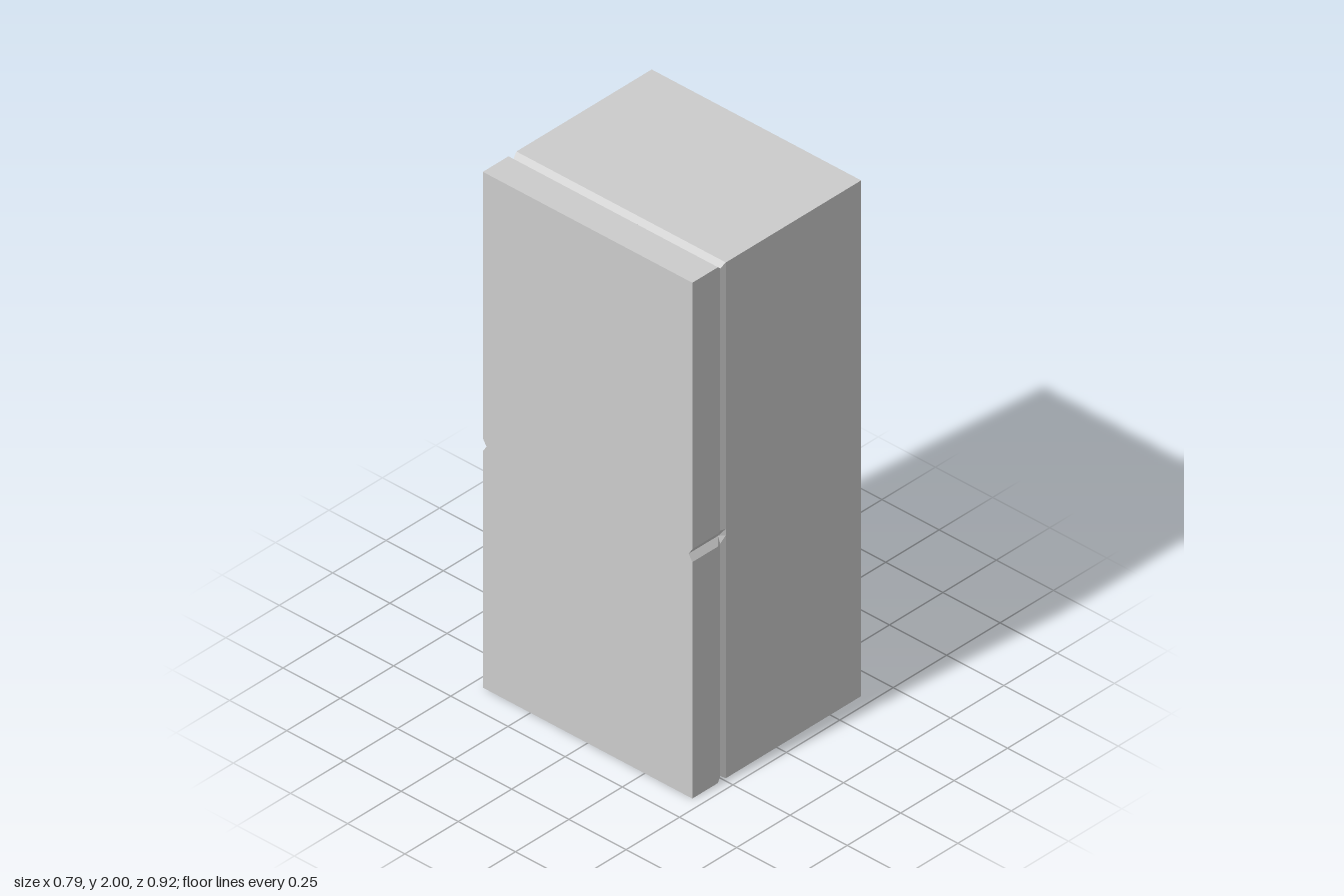
import * as THREE from 'three';

const H = 2, HALF_Z = 0.458, HALF_X = 0.395;
const NOTCH_Y = 0.942, NOTCH_HALF = 0.025, NOTCH_DEPTH = 0.016;

// Outline across x as (z, y) points, with a V notch between the two doors
function section({ insetY = 0, insetZ = 0, notch = 0 }) {
  const z = HALF_Z - insetZ;
  const frontEdge = [
    [z, insetY],
    [z, NOTCH_Y - NOTCH_HALF],
    [Math.min(z, HALF_Z - notch), NOTCH_Y],
    [z, NOTCH_Y + NOTCH_HALF],
    [z, H - insetY],
  ];
  const backEdge = frontEdge.map(([pz, py]) => [-pz, py]).reverse();
  return [...frontEdge, ...backEdge].map(([a, b]) => new THREE.Vector2(a, b));
}

// Skins a row of sections along x and closes one end
function loft(name, stations, capStart) {
  const rings = stations.map(section);
  const n = rings[0].length;
  const positions = [], index = [];
  rings.forEach((ring, j) => ring.forEach(p => positions.push(stations[j].x, p.y, p.x)));
  for (let j = 0; j < rings.length - 1; j++) {
    for (let i = 0; i < n; i++) {
      const a = j * n + i, b = j * n + (i + 1) % n;
      index.push(a, a + n, b + n, a, b + n, b);
    }
  }
  const capRing = capStart ? 0 : rings.length - 1;
  for (const [a, b, c] of THREE.ShapeUtils.triangulateShape(rings[capRing], [])) {
    const o = capRing * n;
    if (capStart) index.push(o + a, o + b, o + c);
    else index.push(o + a, o + c, o + b);
  }
  const indexed = new THREE.BufferGeometry();
  indexed.setAttribute('position', new THREE.Float32BufferAttribute(positions, 3));
  indexed.setIndex(index);
  const geometry = indexed.toNonIndexed();
  geometry.computeVertexNormals();
  const mesh = new THREE.Mesh(geometry, new THREE.MeshStandardMaterial({ color: 0xcccccc, flatShading: true }));
  mesh.name = name;
  return mesh;
}

export function createModel() {
  const group = new THREE.Group();
  group.name = 'refrigerator';

  // Bottom of the seal groove running round the cabinet
  const groove = { x: -0.258, insetY: 0.016, insetZ: 0.006, notch: NOTCH_DEPTH };

  // Upper and lower doors, parted by the notch
  group.add(loft('doors', [
    { x: -HALF_X, notch: NOTCH_DEPTH },
    { x: -0.275, notch: NOTCH_DEPTH },
    groove,
  ], true));

  // Cabinet, where the notch fades out on the groove's far slope
  group.add(loft('cabinet', [groove, { x: -0.238 }, { x: HALF_X }], false));

  return group;
}
